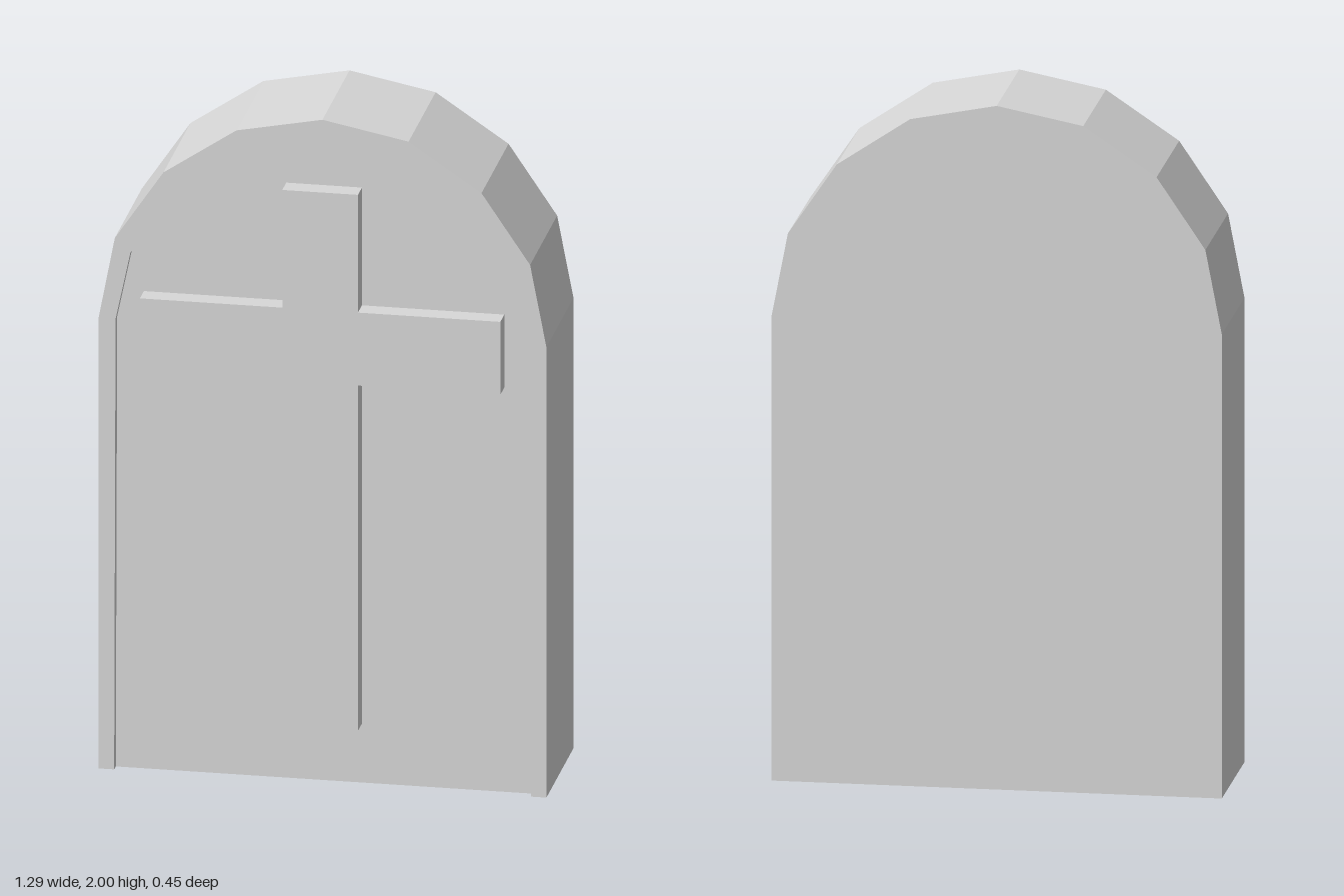
import * as THREE from 'three';

const BACK = -0.224, FRONT = 0.188, PANEL = 0.163, CROSS_BACK = 0.148, CROSS_FRONT = 0.224;

// Half outlines from the base up to the crown; mirrored into full arches
const mirror = (half) => [...half, ...half.slice(0, -1).reverse().map(([x, y]) => [-x, y])];
const outer = mirror([[0.645, 0], [0.645, 1.358], [0.598, 1.603], [0.458, 1.81], [0.248, 1.951], [0, 2]]);
const inner = mirror([[0.6, 0], [0.596, 1.358], [0.553, 1.563], [0.423, 1.757], [0.227, 1.888], [0, 1.934]]);

const toShape = (pts) => new THREE.Shape(pts.map(([x, y]) => new THREE.Vector2(x, y)));

// Strip of flat quads along an outline between two depths
function ribbon(pts, zFront, zBack) {
  const pos = [];
  for (let i = 0; i < pts.length - 1; i++) {
    const [a, b] = [pts[i], pts[i + 1]];
    pos.push(...a, zFront, ...a, zBack, ...b, zBack);
    pos.push(...a, zFront, ...b, zBack, ...b, zFront);
  }
  const geo = new THREE.BufferGeometry();
  geo.setAttribute('position', new THREE.Float32BufferAttribute(pos, 3));
  geo.computeVertexNormals();
  return geo;
}

export function createModel() {
  const stone = new THREE.MeshStandardMaterial({ color: 0xd8d8d8, side: THREE.DoubleSide });
  stone.name = 'pale grey stone';
  const model = new THREE.Group();
  model.name = 'gravestone';

  const add = (name, geo, z = 0) => {
    const mesh = new THREE.Mesh(geo, stone);
    mesh.name = name;
    mesh.position.z = z;
    model.add(mesh);
    return mesh;
  };

  // Hollow slab, open underneath
  add('outerWall', ribbon(outer, FRONT, BACK));
  add('backFace', new THREE.ShapeGeometry(toShape(outer)), BACK).rotation.y = Math.PI;

  // Raised border around the recessed front panel
  add('frontBorder', new THREE.ShapeGeometry(toShape([...outer, ...[...inner].reverse()])), FRONT);
  add('borderStep', ribbon(inner, PANEL, FRONT));
  add('frontPanel', new THREE.ShapeGeometry(toShape(inner)), PANEL);

  // Cross set through the panel
  const arm = 0.109, reach = 0.519, low = 1.219, high = 1.439, foot = 0.178, top = 1.794;
  const cross = toShape([
    [-arm, foot], [arm, foot], [arm, low], [reach, low], [reach, high], [arm, high],
    [arm, top], [-arm, top], [-arm, high], [-reach, high], [-reach, low], [-arm, low],
  ]);
  add('cross', new THREE.ExtrudeGeometry(cross, { depth: CROSS_FRONT - CROSS_BACK, bevelEnabled: false }), CROSS_BACK);

  return model;
}
